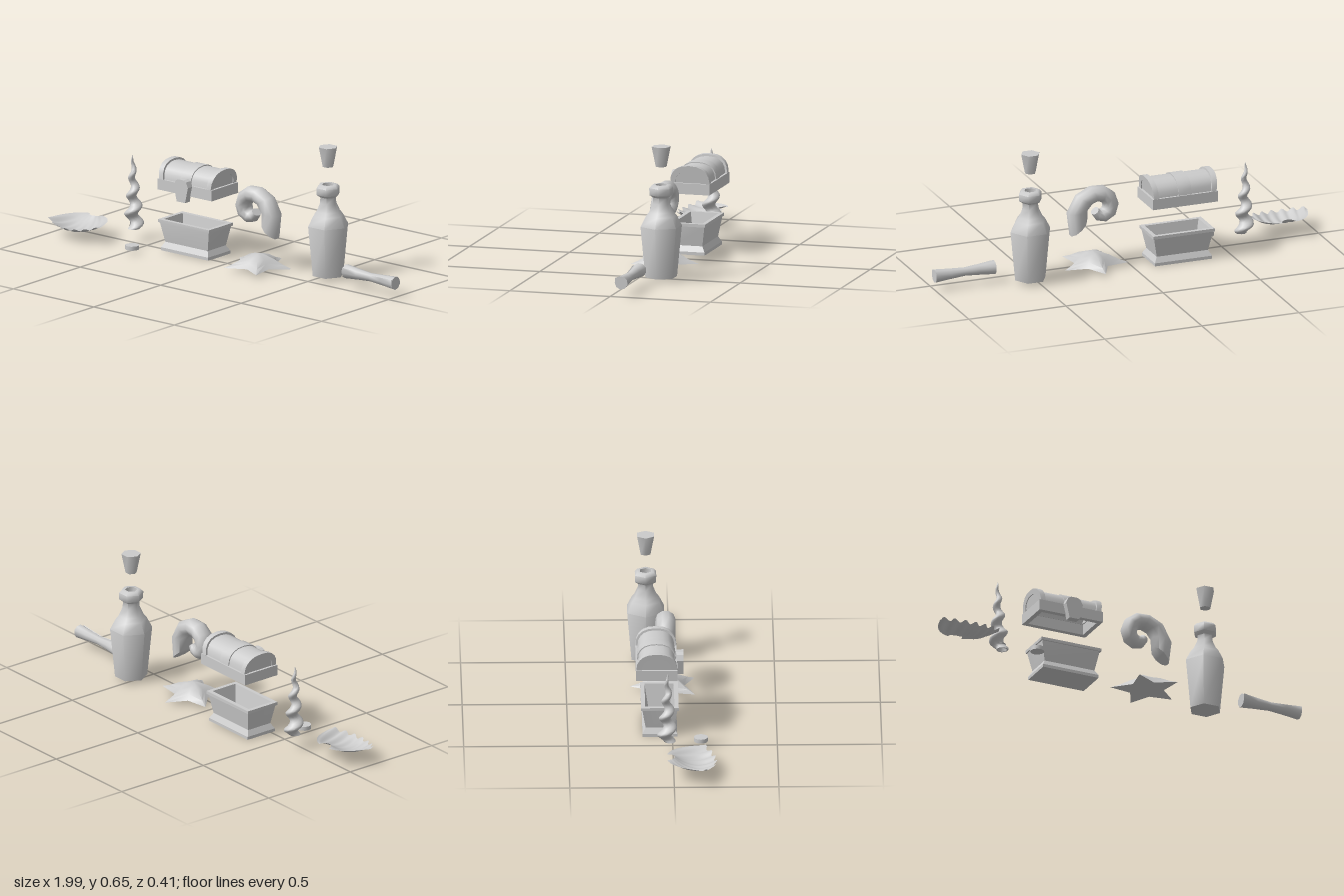
import * as THREE from 'three';
import { toCreasedNormals } from 'three/addons/utils/BufferGeometryUtils.js';

const V = (x, y, z) => new THREE.Vector3(x, y, z);
const TAU = Math.PI * 2;
const lerp = THREE.MathUtils.lerp;

// Skin a list of closed rings (counter-clockwise about the travel direction)
function loft(rings, { crease = 1.1, capStart = true, capEnd = true } = {}) {
  const pos = [], n = rings[0].length;
  const tri = (a, b, c) => pos.push(...a.toArray(), ...b.toArray(), ...c.toArray());
  for (let i = 0; i < rings.length - 1; i++)
    for (let j = 0; j < n; j++) {
      const k = (j + 1) % n, [p, q] = [rings[i], rings[i + 1]];
      tri(p[j], p[k], q[k]);
      tri(p[j], q[k], q[j]);
    }
  const cap = (ring, flip) => {
    const c = ring.reduce((s, p) => s.add(p), V(0, 0, 0)).divideScalar(n);
    ring.forEach((p, j) => {
      const q = ring[(j + 1) % n];
      flip ? tri(c, q, p) : tri(c, p, q);
    });
  };
  if (capStart) cap(rings[0], true);
  if (capEnd) cap(rings[rings.length - 1], false);
  const g = new THREE.BufferGeometry();
  g.setAttribute('position', new THREE.Float32BufferAttribute(pos, 3));
  return toCreasedNormals(g, crease);
}

// Horizontal rings: regular polygon and rectangle
const polygon = (x, y, z, r, n) => Array.from({ length: n }, (_, j) =>
  V(x + r * Math.cos(j / n * TAU), y, z - r * Math.sin(j / n * TAU)));
const rect = (x, y, z, hx, hz) =>
  [V(x + hx, y, z + hz), V(x + hx, y, z - hz), V(x - hx, y, z - hz), V(x - hx, y, z + hz)];

export function createModel() {
  const model = new THREE.Group();
  const mat = new THREE.MeshStandardMaterial({ color: 0xcccccc });
  const thin = new THREE.MeshStandardMaterial({ color: 0xcccccc, side: THREE.DoubleSide });
  const add = (name, geo, parent = model, m = mat) => {
    const mesh = new THREE.Mesh(geo, m);
    mesh.name = name;
    parent.add(mesh);
    return mesh;
  };
  const group = (name) => {
    const g = new THREE.Group();
    g.name = name;
    model.add(g);
    return g;
  };
  const turned = (x, z, n, profile) => loft(profile.map(([y, r]) => polygon(x, y, z, r, n)));

  // Bottle with a hollow mouth, and its floating cork
  add('bottle', turned(0.53, -0.115, 6, [[0.018, 0.078], [0.265, 0.102], [0.315, 0.076], [0.335, 0.06],
    [0.375, 0.042], [0.405, 0.039], [0.418, 0.058], [0.452, 0.059], [0.466, 0.046], [0.466, 0.03], [0.4, 0.026]]));
  add('cork', turned(0.53, -0.115, 6, [[0.555, 0.027], [0.653, 0.047]]));

  // Coin
  add('coin', turned(-0.48, 0.135, 12, [[0.018, 0.034], [0.038, 0.034]]));

  // Rolled scroll: pinched in the middle, with one overlapping edge
  const scroll = [[0.692, 0.035], [0.77, 0.027], [0.845, 0.021], [0.92, 0.026], [1, 0.033]];
  add('scroll', loft(scroll.map(([x, r]) => Array.from({ length: 10 }, (_, j) => {
    const a = 0.92 + j / 9 * TAU, s = r * (1.14 - 0.17 * Math.min(j, 1) + 0.03 * j / 9);
    return V(x, lerp(0.077, 0.072, (x - 0.69) / 0.31) + s * Math.cos(a), -0.055 + s * Math.sin(a));
  }))));

  // Starfish: ten-point outline swelling to a low dome
  const star = [[1, 1, 0.018, 0.018], [0.75, 0.8, 0.034, 0.044], [0.45, 0.6, 0.06, 0.06], [0.2, 0.35, 0.074, 0.073], [0.04, 0.08, 0.079, 0.079]];
  add('starfish', loft(star.map(([tip, notch, yTip, yNotch]) => Array.from({ length: 10 }, (_, j) => {
    const a = Math.PI / 2 + j / 10 * TAU, odd = j % 2;
    const r = odd ? 0.086 * notch : 0.172 * tip;
    return V(0.173 + r * Math.cos(a), odd ? yNotch : yTip, -0.024 - r * Math.sin(a));
  }))));

  // Coiled shell: a tube swept round a shrinking spiral
  const outer = [0.198, 0.165, 0.138, 0.117, 0.108, 0.102, 0.098, 0.094, 0.084, 0.068, 0.05];
  const inner = [0.086, 0.062, 0.044, 0.033, 0.027, 0.023, 0.02, 0.018, 0.014, 0.01, 0.006];
  add('coiledShell', loft(outer.map((R, i) => {
    const a = (-41 + 36 * i) * Math.PI / 180, mid = (R + inner[i]) / 2, h = (R - inner[i]) / 2;
    const hz = i < 6 ? 0.048 : lerp(0.046, 0.03, (i - 6) / 4);
    return Array.from({ length: 10 }, (_, j) => {
      const b = j / 10 * TAU, r = mid + h * Math.sin(b);
      return V(0.14 + r * Math.cos(a), 0.3 + r * Math.sin(a), -0.025 + hz * Math.cos(b));
    });
  })));

  // Tall spiral shell: rings whose centres wind round the axis, open at the bottom
  const horn = [];
  for (let i = 0; i <= 36; i++) {
    const t = i / 36, a = t * 4 * TAU - 1;
    const r = 0.038 * Math.pow(1 - t, 0.75) * (t < 0.12 ? lerp(0.72, 1, t / 0.12) : 1) + 0.001;
    const off = 0.016 * Math.pow(1 - t, 0.6);
    horn.push(polygon(-0.603 - 0.009 * t + off * Math.cos(a), 0.067 + 0.358 * t, -0.028 - off * Math.sin(a), r, 10));
  }
  const mouth = (k, dy) => {
    const c = horn[0].reduce((s, p) => s.add(p), V(0, 0, 0)).divideScalar(10);
    return horn[0].map((p) => p.clone().sub(c).multiplyScalar(k).add(c).add(V(0, dy, 0)));
  };
  add('spiralShell', loft([mouth(0.6, 0.03), mouth(0.8, 0), ...horn]));

  // Scallop shell: ribbed, cupped fan spreading from a small hinge
  const nu = 56, nv = 10;
  const fan = new THREE.PlaneGeometry(1, 1, nu, nv), fp = fan.attributes.position;
  for (let i = 0; i < fp.count; i++) {
    const u = fp.getX(i) * 2, v = 0.15 + 0.85 * (0.5 - fp.getY(i));
    const half = (44 + 46 * Math.pow((1 - v) / 0.85, 1.3)) * Math.PI / 180;
    const rib = Math.cos(7 * Math.PI * u) * v * v;
    const r = 0.231 * v * (1 + 0.03 * rib), yc = 0.042 + 0.2 * (v - 0.65) ** 2;
    fp.setXYZ(i, -0.838 + r * Math.sin(half * u), lerp(yc, 0.09, u * u) + 0.006 * rib, -0.031 + r * Math.cos(half * u));
  }
  fan.computeVertexNormals();
  add('scallopShell', fan, model, thin);

  // Chest base: flared foot, tapering walls, lipped rim and hollow inside
  const chest = group('chest');
  add('chestBase', loft([[0.003, 0.147, 0.083], [0.018, 0.147, 0.083], [0.045, 0.132, 0.068], [0.142, 0.152, 0.084],
    [0.142, 0.158, 0.09], [0.157, 0.158, 0.09], [0.157, 0.138, 0.07], [0.045, 0.116, 0.052]]
    .map(([y, hx, hz]) => rect(-0.248, y, -0.06, hx, hz)), { crease: 0.3 }));

  // Chest lid: open rim frame below a barrel top
  const lid = group('chestLid'), lx = -0.246, lz = -0.075;
  add('lidRim', loft([[0.357, 0.145, 0.074], [0.302, 0.145, 0.074], [0.302, 0.168, 0.099], [0.355, 0.168, 0.099], [0.355, 0.14, 0.074]]
    .map(([y, hx, hz]) => rect(lx, y, lz, hx, hz)), { crease: 0.3, capStart: false, capEnd: false }));
  const arc = (hz, h) => Array.from({ length: 11 }, (_, i) => {
    const c = Math.cos(i / 10 * Math.PI), s = Math.sin(i / 10 * Math.PI);
    return new THREE.Vector2(hz * Math.sign(c) * Math.pow(Math.abs(c), 0.85), h * Math.pow(Math.abs(s), 0.85));
  });
  const barrel = (name, x0, x1, grow, hollow = true) => {
    const pts = arc(0.088 + grow, 0.076 + grow);
    if (hollow) pts.push(...arc(0.072, 0.06).reverse());
    let g = new THREE.ExtrudeGeometry(new THREE.Shape(pts), { depth: x1 - x0, bevelEnabled: false });
    g.translate(0, 0, x0).rotateY(Math.PI / 2);
    // Ends lean outward towards the crown
    const p = g.attributes.position;
    for (let i = 0; i < p.count; i++) p.setX(i, p.getX(i) * (1 + 0.07 * p.getY(i) / 0.08));
    g = toCreasedNormals(g.translate(lx, 0.355, lz), 0.7);
    add(name, g, lid);
  };
  barrel('lidBarrel', -0.15, 0.15, 0);
  barrel('lidStrap', -0.032, 0.032, 0.005);
  for (const s of [-1, 1]) {
    barrel('lidEndBand', Math.min(s * 0.134, s * 0.16), Math.max(s * 0.134, s * 0.16), 0.01);
    barrel('lidEndWall', Math.min(s * 0.14, s * 0.156), Math.max(s * 0.14, s * 0.156), 0, false);
  }

  // Latch plate on the lid front
  const latch = [[-0.026, 0.275], [0.026, 0.275], [0.044, 0.352], [0.032, 0.378], [0.016, 0.386],
    [-0.016, 0.386], [-0.032, 0.378], [-0.044, 0.352]].map(([x, y]) => new THREE.Vector2(x, y));
  add('latch', new THREE.ExtrudeGeometry(new THREE.Shape(latch), { depth: 0.035, bevelEnabled: false })
    .translate(-0.244, 0, 0.02), lid);

  return model;
}
